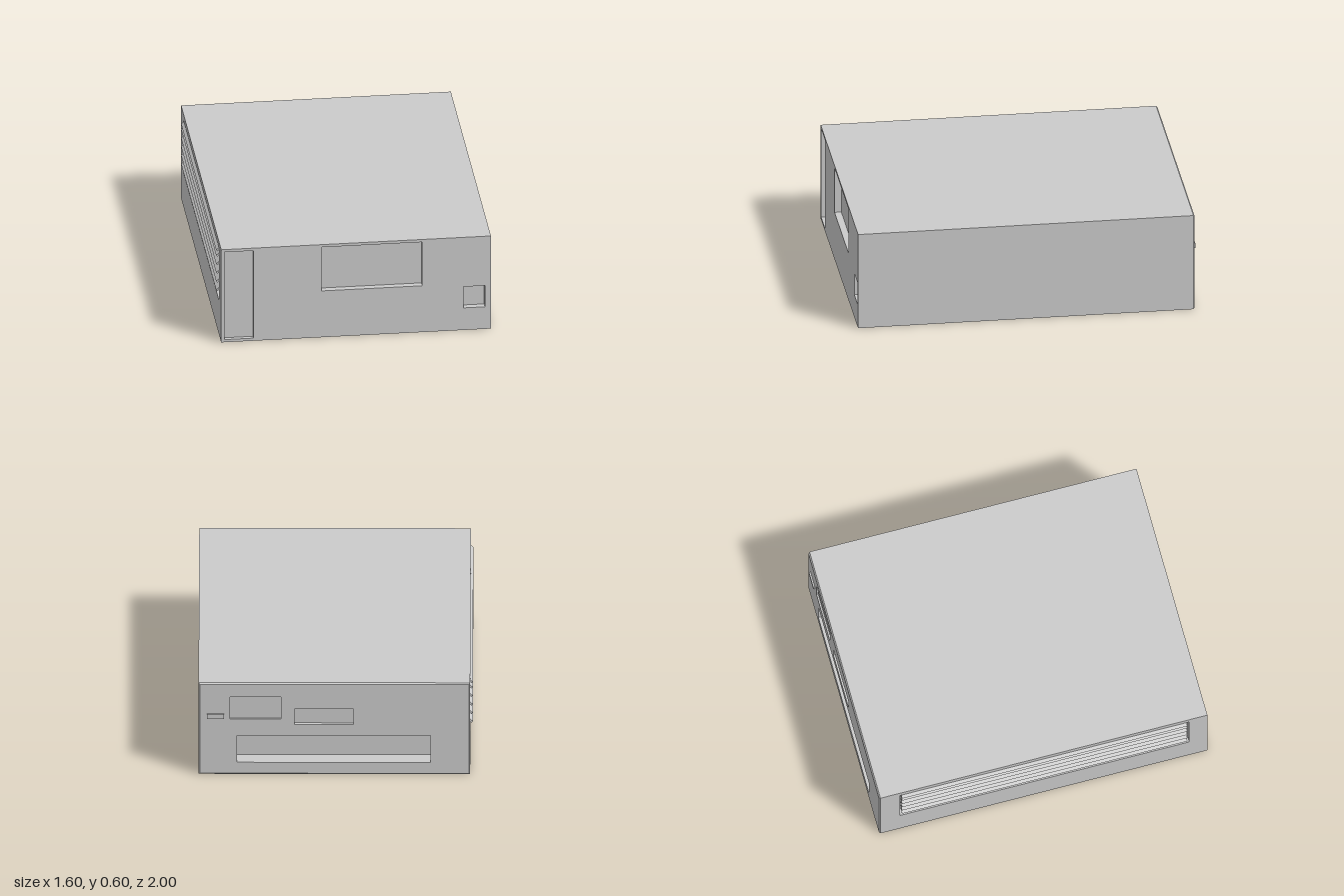
import * as THREE from 'three';

const material = new THREE.MeshStandardMaterial({ color: 0xcccccc });

function mesh(geometry, name) {
  const m = new THREE.Mesh(geometry, material);
  m.name = name;
  return m;
}

const corners = (x0, y0, x1, y1) =>
  [[x0, y0], [x1, y0], [x1, y1], [x0, y1]].map(([x, y]) => new THREE.Vector2(x, y));

// Inward-facing box without its +z side, opening at z = 0
function recessGeometry([x0, y0, x1, y1, depth]) {
  const g = new THREE.BoxGeometry(x1 - x0, y1 - y0, depth);
  const index = Array.from(g.index.array).filter((_, i) => i < 24 || i >= 30);
  g.setIndex(index.reverse());
  g.computeVertexNormals();
  return g.translate((x0 + x1) / 2, (y0 + y1) / 2, -depth / 2);
}

// Flat wall in the xy plane with named recesses: [x0, y0, x1, y1, depth]
function wall(name, outline, recesses) {
  const group = new THREE.Group();
  group.name = name;
  const shape = new THREE.Shape(corners(...outline));
  for (const [label, r] of Object.entries(recesses)) {
    shape.holes.push(new THREE.Path(corners(...r.slice(0, 4)).reverse()));
    group.add(mesh(recessGeometry(r), label));
  }
  group.add(mesh(new THREE.ShapeGeometry(shape), name + 'Panel'));
  return group;
}

// Outer skin joining rectangular sections from front to back; the vented side stays open
function casingGeometry() {
  const sections = [
    { z: 1, c: corners(-0.79, 0, 0.8, 0.6) },
    { z: -0.982, c: corners(-0.79, 0, 0.8, 0.6) },
    { z: -0.99, c: corners(-0.782, 0.008, 0.792, 0.592) },
  ];
  const positions = [];
  for (let s = 0; s < 2; s++) {
    const a = sections[s], b = sections[s + 1];
    for (let i = 0; i < 4; i++) {
      if (s === 0 && i === 3) continue;
      const j = (i + 1) % 4;
      const p = [[a, i], [b, i], [b, j], [a, j]].map(([q, k]) => [q.c[k].x, q.c[k].y, q.z]);
      for (const k of [0, 1, 2, 0, 2, 3]) positions.push(...p[k]);
    }
  }
  const g = new THREE.BufferGeometry();
  g.setAttribute('position', new THREE.Float32BufferAttribute(positions, 3));
  g.computeVertexNormals();
  return g;
}

export function createModel() {
  const model = new THREE.Group();
  model.name = 'deviceCase';
  model.add(mesh(casingGeometry(), 'casing'));

  // Front: tall strip, display window and button pocket
  const front = wall('front', [-0.79, 0, 0.8, 0.6], {
    stripRecess: [-0.77, 0.017, -0.6, 0.583, 0.025],
    displayRecess: [-0.2, 0.3, 0.395, 0.583, 0.04],
    buttonRecess: [0.637, 0.143, 0.765, 0.28, 0.04],
  });
  front.position.z = 1;
  model.add(front);

  // Back: connector panels and long slot (local x runs towards -x)
  const back = wall('back', [-0.792, 0.008, 0.782, 0.592], {
    largePortRecess: [-0.615, 0.365, -0.318, 0.51, 0.01],
    smallPortRecess: [-0.238, 0.33, 0.107, 0.432, 0.02],
    slotRecess: [-0.575, 0.08, 0.557, 0.256, 0.1],
  });
  const tab = mesh(new THREE.BoxGeometry(0.1, 0.03, 0.02), 'backTab');
  tab.position.set(-0.7, 0.385, 0);
  back.add(tab);
  back.position.z = -0.99;
  back.rotation.y = Math.PI;
  model.add(back);

  // Vented side (local x runs along +z)
  const side = wall('ventSide', [-0.982, 0, 1, 0.6], {
    ventRecess: [-0.865, 0.22, 0.89, 0.562, 0.04],
  });
  for (const tipY of [0.278, 0.334, 0.39, 0.446, 0.502, 0.537]) {
    const slat = mesh(new THREE.BoxGeometry(1.73, 0.012, 0.05), 'ventSlat');
    slat.position.set(0.01, tipY + 0.016, -0.008);
    slat.rotation.x = 0.7;
    side.add(slat);
  }
  side.position.x = -0.79;
  side.rotation.y = -Math.PI / 2;
  model.add(side);

  return model;
}
